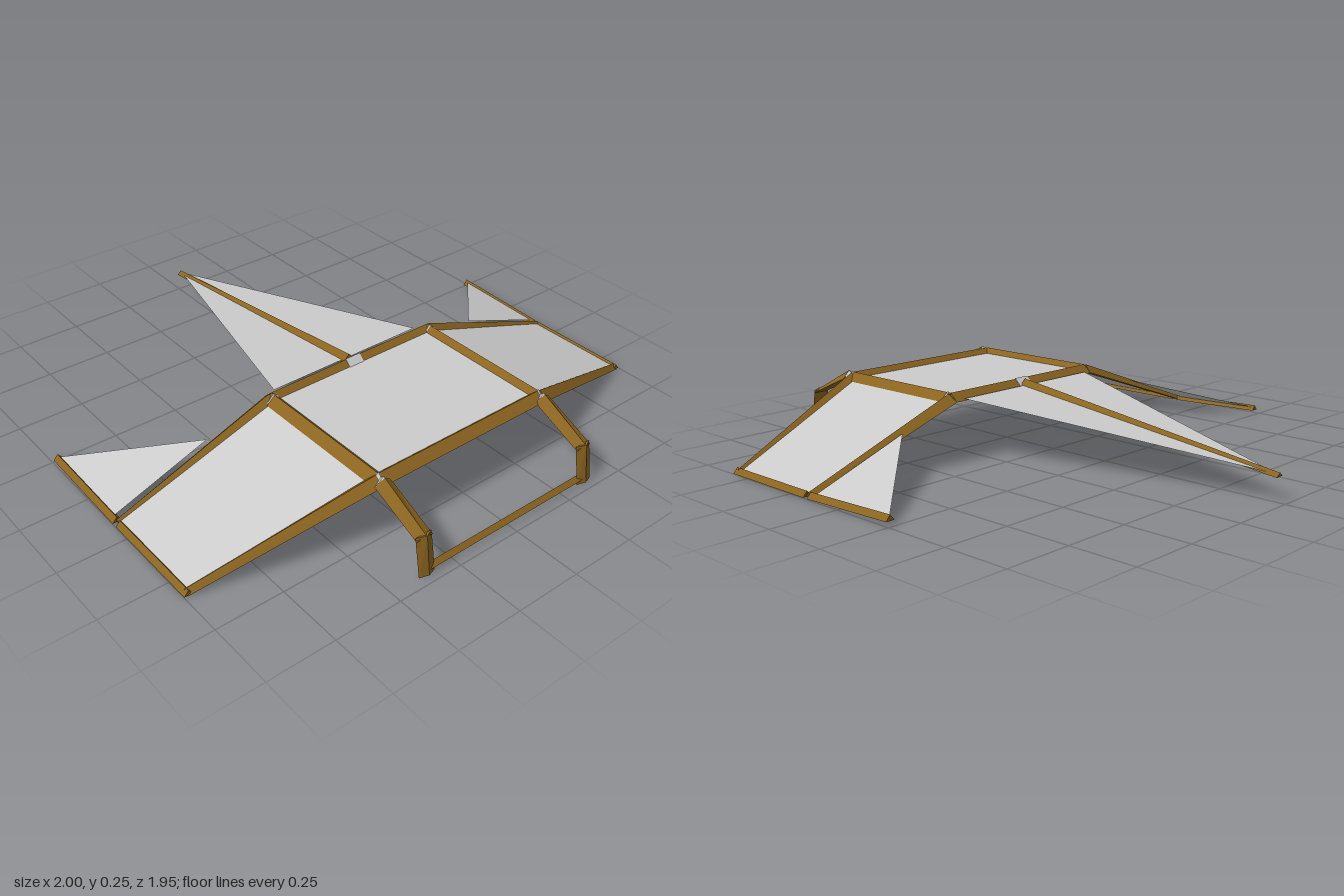
import * as THREE from 'three';

const wood = new THREE.MeshStandardMaterial({ color: 0x8b6420, flatShading: true, side: THREE.DoubleSide });
const grey = new THREE.MeshStandardMaterial({ color: 0xcccccc, flatShading: true, side: THREE.DoubleSide });
const V = (x, y, z) => new THREE.Vector3(x, y, z);

function meshFrom(points, name, material) {
  const geometry = new THREE.BufferGeometry().setFromPoints(points);
  geometry.computeVertexNormals();
  const mesh = new THREE.Mesh(geometry, material);
  mesh.name = name;
  return mesh;
}

// Roof-shaped spar from a to b: flat base on the line, ridge towards up, tapered ends
function spar(name, a, b, up, [wa, ha], [wb, hb] = [wa, ha], material = wood) {
  const d = b.clone().sub(a).normalize();
  const s = up.clone().cross(d).normalize();
  const u = d.clone().cross(s);
  const section = (p, w, h) => [
    p.clone().addScaledVector(s, -w / 2),
    p.clone().addScaledVector(s, w / 2),
    p.clone().addScaledVector(u, h),
  ];
  const A = section(a, wa, ha), B = section(b, wb, hb);
  const tris = [A[0], A[2], A[1], B[0], B[1], B[2]];
  for (let i = 0; i < 3; i++) {
    const j = (i + 1) % 3;
    tris.push(A[i], A[j], B[j], A[i], B[j], B[i]);
  }
  return meshFrom(tris, name, material);
}

// Thin membrane as a fan over its corners
function panel(name, ...c) {
  const tris = [];
  for (let i = 1; i < c.length - 1; i++) tris.push(c[0], c[i], c[i + 1]);
  return meshFrom(tris, name, grey);
}

export function createModel() {
  const model = new THREE.Group();
  const add = (...parts) => model.add(...parts);
  const up = V(0, 1, 0);
  const wide = [0.066, 0.03], tip = [0.034, 0.018];
  const base = 0.215, inner = 0.36, outer = 0.983, back = 0.168, front = 0.725;

  // Centre wing
  add(spar('centreFrontSpar', V(-inner, base, front), V(inner, base, front), up, wide));
  add(spar('centreRearSpar', V(-inner, base, back), V(inner, base, back), up, wide));
  add(panel('centrePanel', V(-inner, 0.225, front), V(inner, 0.225, front),
    V(inner, 0.225, back), V(-inner, 0.225, back)));

  // Tail
  add(spar('tailBoom', V(0, base, 0.15), V(0, 0.085, -0.975), up, wide, [0.034, 0.014]));
  add(panel('tailPanel', V(-0.325, 0.223, 0.135), V(0.325, 0.223, 0.135), V(0, 0.092, -0.97)));
  add(spar('tailJoint', V(-0.032, base, back), V(0.032, base, back), up, [0.07, 0.033], undefined, grey));

  // Front grip bar
  add(spar('gripBar', V(-inner, 0.016, 0.953), V(inner, 0.016, 0.953), V(0, 0, 1), [0.032, 0.016]));

  for (const s of [-1, 1]) {
    const side = s > 0 ? 'left' : 'right';
    const wingUp = V(0.34 * s, 0.94, 0);

    // Drooping outer wing
    add(spar(side + 'RibInner', V(s * inner, base, back), V(s * inner, base, front), up, wide));
    add(spar(side + 'WingFrontSpar', V(s * inner, base, front), V(s * outer, 0, 0.57), wingUp, wide, tip));
    add(spar(side + 'WingRearSpar', V(s * inner, base, back), V(s * outer, 0, back), wingUp, wide, tip));
    add(spar(side + 'WingTipRib', V(s * outer, 0, 0.18), V(s * outer, 0, 0.585), up, [0.033, 0.02]));
    add(panel(side + 'WingPanel', V(s * inner, 0.225, front), V(s * outer, 0.01, 0.57),
      V(s * outer, 0.01, back), V(s * inner, 0.225, back)));

    // Trailing wing-tip fin
    add(spar(side + 'FinSpar', V(s * outer, 0, 0.16), V(s * outer, 0.014, -0.24), up, [0.033, 0.02]));
    add(panel(side + 'FinPanel', V(s * 0.61, 0.147, 0.14), V(s * outer, 0.012, 0.14), V(s * outer, 0.024, -0.235)));

    // Grip legs
    add(spar(side + 'GripLegUpper', V(s * inner, base + 0.005, 0.745), V(s * inner, 0.132, 0.945),
      V(0, 0.9, 0.44), [0.066, 0.028], [0.066, 0.016]));
    add(spar(side + 'GripLegLower', V(s * inner, 0.145, 0.938), V(s * inner, 0, 0.963),
      V(0, 0.1, 1), [0.066, 0.018], [0.066, 0.012]));

    // Small pyramid joints where spars meet
    for (const z of [back + 0.015, front, 0.75]) {
      const joint = new THREE.Mesh(new THREE.ConeGeometry(0.036, 0.034, 4), grey);
      joint.name = side + 'Joint';
      joint.position.set(s * inner, base + 0.017, z);
      add(joint);
    }
  }
  return model;
}
